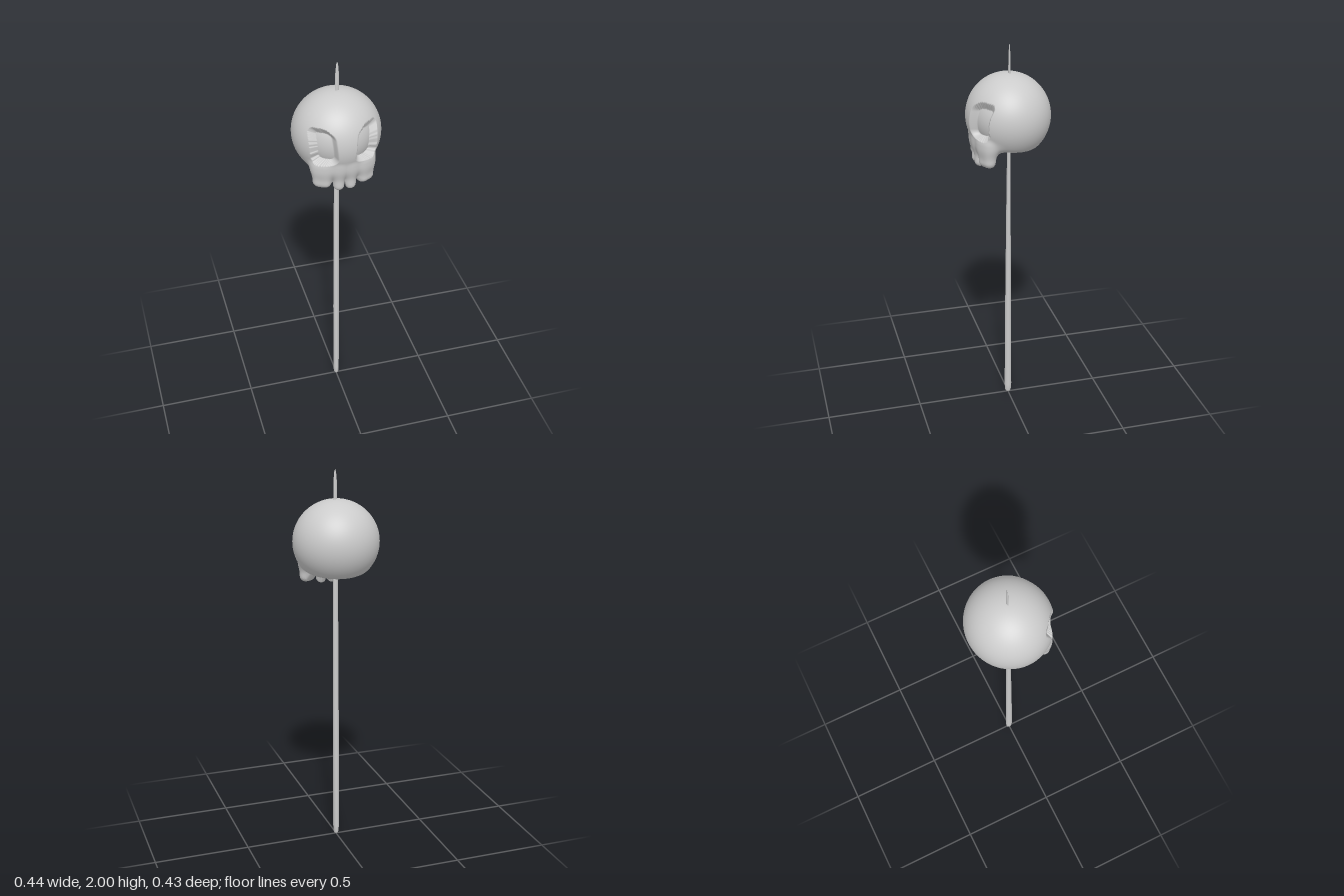
import * as THREE from 'three';
import { mergeVertices } from 'three/addons/utils/BufferGeometryUtils.js';

const material = new THREE.MeshStandardMaterial({ color: 0xcccccc });

// Smooth blend of two distances, and its opposite
const smin = (a, b, k) => {
  const h = Math.max(k - Math.abs(a - b), 0) / k;
  return Math.min(a, b) - h * h * k * 0.25;
};
const smax = (a, b, k) => -smin(-a, -b, k);

const ellipsoid = (x, y, z, rx, ry, rz) =>
  (Math.hypot(x / rx, y / ry, z / rz) - 1) * Math.min(rx, ry, rz);

// Upright tooth with a rounded end
const tooth = (x, y, z, cx, cz, bottom, r) => {
  const cy = THREE.MathUtils.clamp(y, bottom + r, 1.53);
  return Math.hypot(x - cx, y - cy, z - cz) - r;
};

// Distance to the skull; mirrored in x
function skullDistance(px, y, z) {
  const x = Math.abs(px);
  // round cranium with a flattened, sloping underside
  let d = ellipsoid(x, y - 1.635, z, 0.221, 0.215, 0.213);
  d = smax(d, 1.456 + 0.13 * (z + 0.15) - y, 0.035);
  // upper jaw and its teeth
  d = smin(d, ellipsoid(x, y - 1.51, z - 0.115, 0.15, 0.06, 0.074), 0.03);
  const inner = tooth(x, y, z, 0.029, 0.152, 1.388, 0.028);
  const outer = smin(
    tooth(x, y, z, 0.093, 0.142, 1.408, 0.03),
    tooth(x, y, z, 0.122, 0.126, 1.408, 0.031), 0.02);
  d = smin(d, smin(inner, outer, 0.012), 0.03);
  // eye sockets: tilted rounded slots
  if (z > 0) {
    const v = y - 1.64, u = x - 0.096 - 0.1 * v;
    const a = Math.abs(u) - 0.012, b = Math.abs(v) - 0.048;
    const slot = Math.hypot(Math.max(a, 0), Math.max(b, 0)) + Math.min(Math.max(a, b), 0) - 0.03;
    d += 0.034 * (1 - THREE.MathUtils.smoothstep(slot, -0.007, 0.009));
  }
  return d;
}

// Push each vertex of a sphere out to the skull surface
function createSkull() {
  let geo = new THREE.SphereGeometry(1, 200, 150);
  geo.rotateX(Math.PI / 2); // pole faces forward, so the face is dense
  geo.deleteAttribute('uv');
  geo.deleteAttribute('normal');
  geo = mergeVertices(geo, 1e-5);
  const pos = geo.attributes.position;
  const c = new THREE.Vector3(0, 1.6, 0.08);
  const dir = new THREE.Vector3(), p = new THREE.Vector3();
  const at = (t) => {
    p.copy(c).addScaledVector(dir, t);
    return skullDistance(p.x, p.y, p.z);
  };
  for (let i = 0; i < pos.count; i++) {
    dir.fromBufferAttribute(pos, i).normalize();
    let hi = 0.02;
    while (hi < 0.5 && at(hi) < 0) hi += 0.006;
    let lo = hi - 0.006;
    for (let k = 0; k < 14; k++) {
      const mid = (lo + hi) / 2;
      if (at(mid) < 0) lo = mid; else hi = mid;
    }
    at(hi);
    pos.setXYZ(i, p.x, p.y, p.z);
  }
  geo.computeVertexNormals();
  const mesh = new THREE.Mesh(geo, material);
  mesh.name = 'skull';
  return mesh;
}

// Tapered stick, deep at the foot and thin at the pointed tip
function createStick() {
  const profile = [
    [0, 0], [0.008, 0.002], [0.013, 0.014], [0.0155, 0.05], [0.016, 0.5],
    [0.0145, 1.1], [0.0125, 1.5], [0.0105, 1.85], [0.009, 1.94], [0.005, 1.985], [0, 2],
  ].map(([r, y]) => new THREE.Vector2(r, y));
  const geo = new THREE.LatheGeometry(profile, 12);
  const pos = geo.attributes.position;
  for (let i = 0; i < pos.count; i++) {
    const t = pos.getY(i) / 2;
    pos.setX(i, pos.getX(i) + 0.007 * t * t);
    pos.setZ(i, pos.getZ(i) * (1.25 - 0.8 * t) - 0.006 * t * t);
  }
  geo.computeVertexNormals();
  const mesh = new THREE.Mesh(geo, material);
  mesh.name = 'stick';
  return mesh;
}

export function createModel() {
  const group = new THREE.Group();
  group.name = 'skullOnStick';
  group.add(createSkull(), createStick());
  return group;
}
